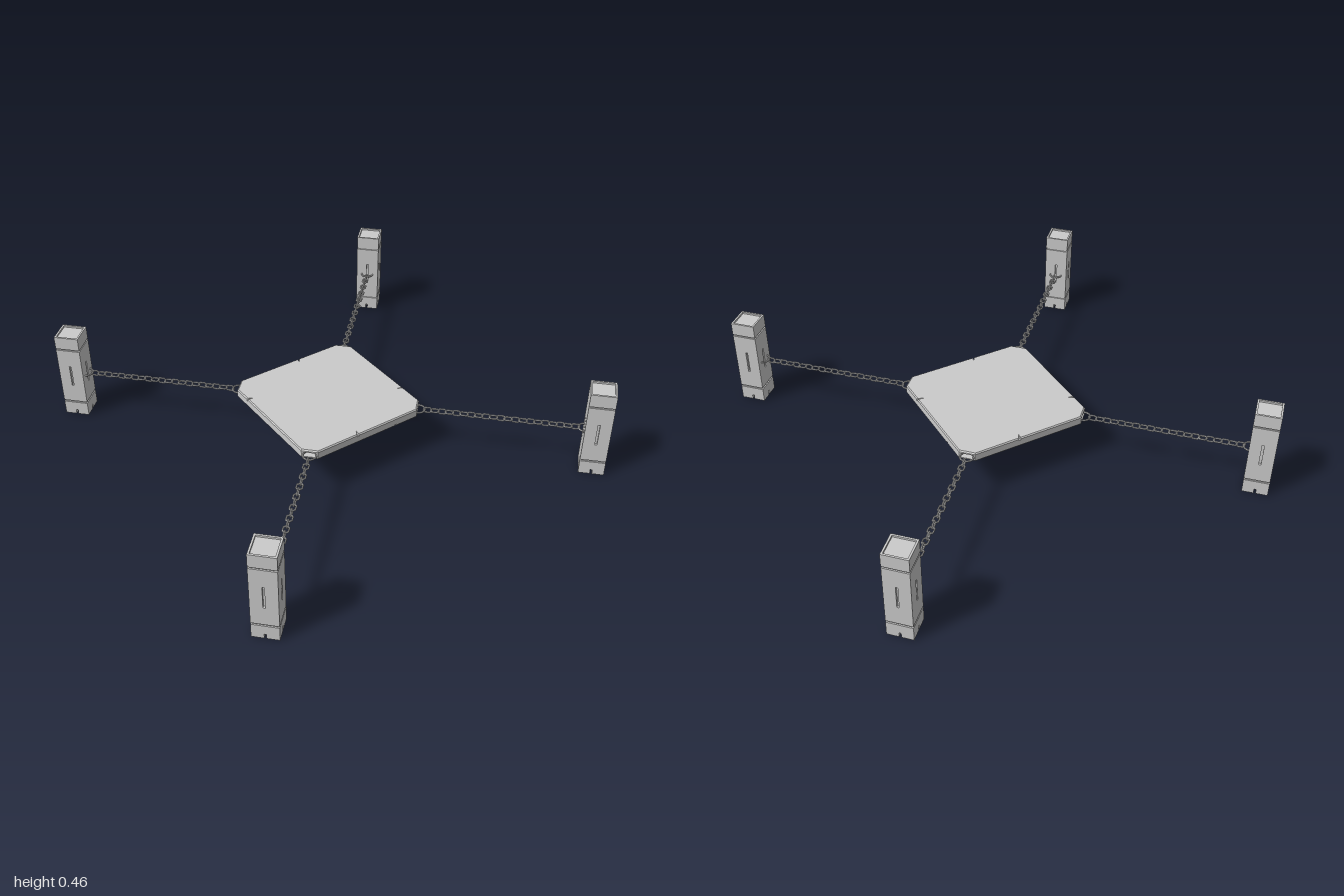
import * as THREE from 'three';

const grey = new THREE.MeshStandardMaterial({ color: 0xcccccc, flatShading: true });
const CHAIN_Y = 0.225;

function part(name, geometry, parent) {
  const mesh = new THREE.Mesh(geometry, grey);
  mesh.name = name;
  parent.add(mesh);
  return mesh;
}

// Shape extruded upwards from y0 to y1; topScale and bottomScale taper it.
function slab(shape, y0, y1, bottomScale = 1, topScale = 1) {
  const g = new THREE.ExtrudeGeometry(shape, { depth: y1 - y0, bevelEnabled: false });
  g.rotateX(-Math.PI / 2);
  const p = g.attributes.position;
  for (let i = 0; i < p.count; i++) {
    const s = p.getY(i) > (y1 - y0) / 2 ? topScale : bottomScale;
    p.setXYZ(i, p.getX(i) * s, p.getY(i) + y0, p.getZ(i) * s);
  }
  g.computeVertexNormals();
  return g;
}

// Builds a closed outline by turning four side profiles around the centre.
function fourSided(side) {
  const pts = [];
  for (let i = 0; i < 4; i++) {
    for (const [x, y] of side(i)) {
      pts.push(new THREE.Vector2(x, y).rotateAround(new THREE.Vector2(), i * Math.PI / 2));
    }
  }
  return new THREE.Shape(pts);
}

// Square platform outline with cut corners, edge cracks and optional ring slots.
function platformShape(cracks, slotted) {
  const h = 0.34, a = 0.285, c = (h + a) / 2, w = 0.022, d = 0.03;
  return fourSided((i) => {
    const pts = [[h, -a]];
    const t = cracks[i];
    if (t !== null) pts.push([h, t - 0.005], [h - 0.025, t + 0.008], [h, t + 0.005]);
    pts.push([h, a]);
    if (slotted) {
      pts.push([c + w, c - w], [c + w - d, c - w - d], [c - w - d, c + w - d], [c - w, c + w]);
    }
    return pts;
  });
}

// Square post outline with a narrow groove down the middle of each face.
function postShape(h, depth = 0, w = 0.005) {
  return fourSided(() => depth
    ? [[h, -h], [h, -w], [h - depth, -w], [h - depth, w], [h, w]]
    : [[h, -h]]);
}

function createPlatform() {
  const group = new THREE.Group();
  group.name = 'platform';
  const none = [null, null, null, null];
  const upper = platformShape([-0.16, -0.05, -0.19, -0.06], false);
  const lower = platformShape([0.16, null, null, 0.16], false);
  part('bottomBevel', slab(lower, 0.203, 0.209, 0.986, 1), group);
  part('lowerSlab', slab(lower, 0.209, 0.214), group);
  part('slottedSlab', slab(platformShape(none, true), 0.214, 0.237), group);
  part('upperSlab', slab(upper, 0.237, 0.244), group);
  part('topBevel', slab(upper, 0.244, 0.25, 1, 0.986), group);
  // thin square patch under one corner
  part('undersidePatch', new THREE.BoxGeometry(0.12, 0.003, 0.12), group)
    .position.set(0.25, 0.2025, 0.25);
  return group;
}

function createPost() {
  const group = new THREE.Group();
  group.name = 'post';
  const h = 0.0605, neck = 0.054;
  const sections = [
    ['foot', 0, 0.024, h, 0.03],
    ['base', 0.024, 0.071, h, 0],
    ['lowerGroove', 0.071, 0.08, neck, 0],
    ['lowerBody', 0.08, 0.175, h, 0],
    ['slottedBody', 0.175, 0.29, h, 0.012],
    ['upperBody', 0.29, 0.383, h, 0],
    ['upperGroove', 0.383, 0.391, neck, 0],
    ['cap', 0.391, 0.448, h, 0],
  ];
  for (const [name, y0, y1, half, depth] of sections) {
    part(name, slab(postShape(half, depth), y0, y1), group);
  }
  // raised rim around the recessed top
  const rim = postShape(h);
  rim.holes.push(postShape(h - 0.009));
  part('rim', slab(rim, 0.448, 0.457), group);
  return group;
}

// Eight-sided link stretched along x.
function linkGeometry() {
  const g = new THREE.TorusGeometry(0.0145, 0.0045, 6, 8);
  g.rotateZ(Math.PI / 8);
  const p = g.attributes.position;
  for (let i = 0; i < p.count; i++) p.setX(i, p.getX(i) + Math.sign(p.getX(i)) * 0.006);
  g.computeVertexNormals();
  return g;
}

export function createModel() {
  const model = new THREE.Group();
  model.name = 'chainedPlatform';
  model.add(createPlatform());

  const link = linkGeometry();
  const ring = new THREE.TorusGeometry(0.032, 0.0045, 6, 16);
  ring.rotateX(Math.PI / 2);

  // each arm runs along x, then turns onto a diagonal
  for (let k = 0; k < 4; k++) {
    const arm = new THREE.Group();
    arm.name = 'arm';
    arm.rotation.y = Math.PI / 4 + k * Math.PI / 2;

    const post = createPost();
    post.position.x = 1.291;
    arm.add(post);

    part('platformRing', ring, arm).position.set(0.445, CHAIN_Y, 0);
    part('postRing', ring, arm).position.set(1.235, CHAIN_Y, 0);

    // links alternate between upright and flat
    const chain = new THREE.Group();
    chain.name = 'chain';
    for (let i = 0; i < 21; i++) {
      const m = part('chainLink', link, chain);
      m.position.set(0.49 + i * 0.035, CHAIN_Y, 0);
      m.rotation.x = i % 2 ? Math.PI / 2 : 0;
    }
    arm.add(chain);
    model.add(arm);
  }
  return model;
}
